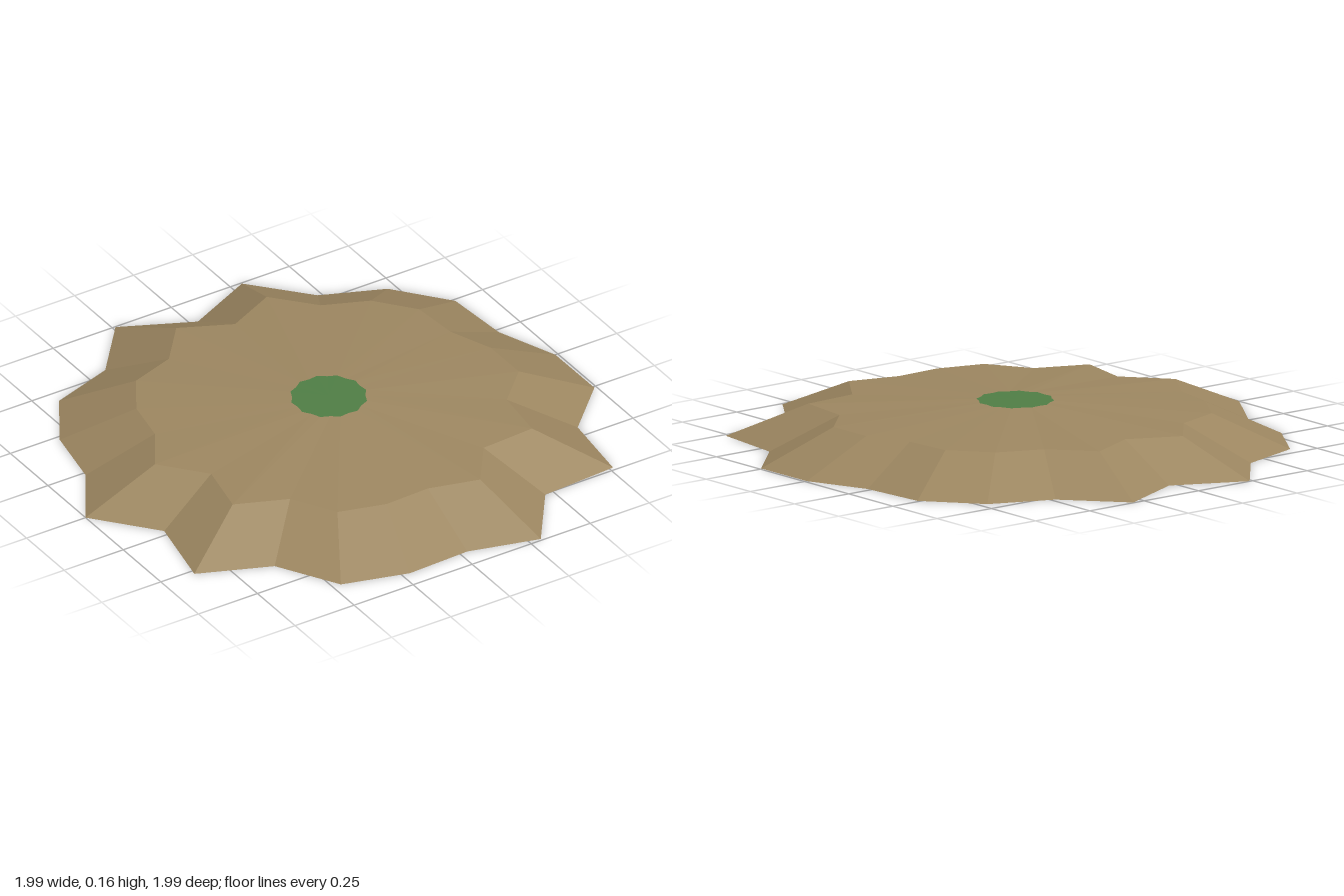
import * as THREE from 'three';

// Rim radius every 15 degrees, starting at +x and turning toward +z
const RIM = [
  0.96, 0.995, 0.89, 1.04, 0.872, 1.027, 0.92, 0.963, 0.993, 0.893, 1.04, 0.87,
  1.03, 0.911, 0.962, 0.987, 0.90, 1.033, 0.87, 1.031, 0.907, 0.972, 0.98, 0.90,
];
const N = RIM.length;
const CENTRE_X = 0.03;

// Closed ring of points whose radius follows a rule
function ring(y, radiusAt) {
  return RIM.map((r, i) => {
    const a = (i / N) * Math.PI * 2;
    const d = radiusAt(r, i);
    return [CENTRE_X + Math.cos(a) * d, y, Math.sin(a) * d];
  });
}

// Upward-facing faceted skin between successive rings, outermost first
function skin(rings) {
  const pos = [];
  for (let k = 0; k < rings.length - 1; k++) {
    const outer = rings[k], inner = rings[k + 1];
    for (let i = 0; i < N; i++) {
      const j = (i + 1) % N;
      pos.push(...outer[i], ...inner[i], ...outer[j]);
      pos.push(...outer[j], ...inner[i], ...inner[j]);
    }
  }
  return toGeometry(pos);
}

// Upward-facing fan filling one ring
function fan(edge, y) {
  const pos = [];
  edge.forEach((p, i) => pos.push(...p, CENTRE_X, y, 0, ...edge[(i + 1) % N]));
  return toGeometry(pos);
}

function toGeometry(pos) {
  const g = new THREE.BufferGeometry();
  g.setAttribute('position', new THREE.Float32BufferAttribute(pos, 3));
  g.computeVertexNormals();
  return g;
}

export function createModel() {
  const earth = new THREE.MeshStandardMaterial({ color: 0x9c8660, flatShading: true, side: THREE.DoubleSide });
  earth.name = 'earth';
  const grass = new THREE.MeshStandardMaterial({ color: 0x4f7d45, flatShading: true, side: THREE.DoubleSide });
  grass.name = 'grass';

  const foot = ring(0, (r) => r);
  const shoulder = ring(0.125, (r) => r * 0.715);
  const crown = ring(0.158, (r, i) => (i % 2 ? 0.14 : 0.131));

  const model = new THREE.Group();
  model.name = 'mound';

  // Sloping skirt around the rim
  const skirt = new THREE.Mesh(skin([foot, shoulder]), earth);
  skirt.name = 'skirt';

  // Gently rising top
  const top = new THREE.Mesh(skin([shoulder, crown]), earth);
  top.name = 'top';

  // Green patch filling the centre
  const patch = new THREE.Mesh(fan(crown, 0.16), grass);
  patch.name = 'grassPatch';

  model.add(skirt, top, patch);
  return model;
}
